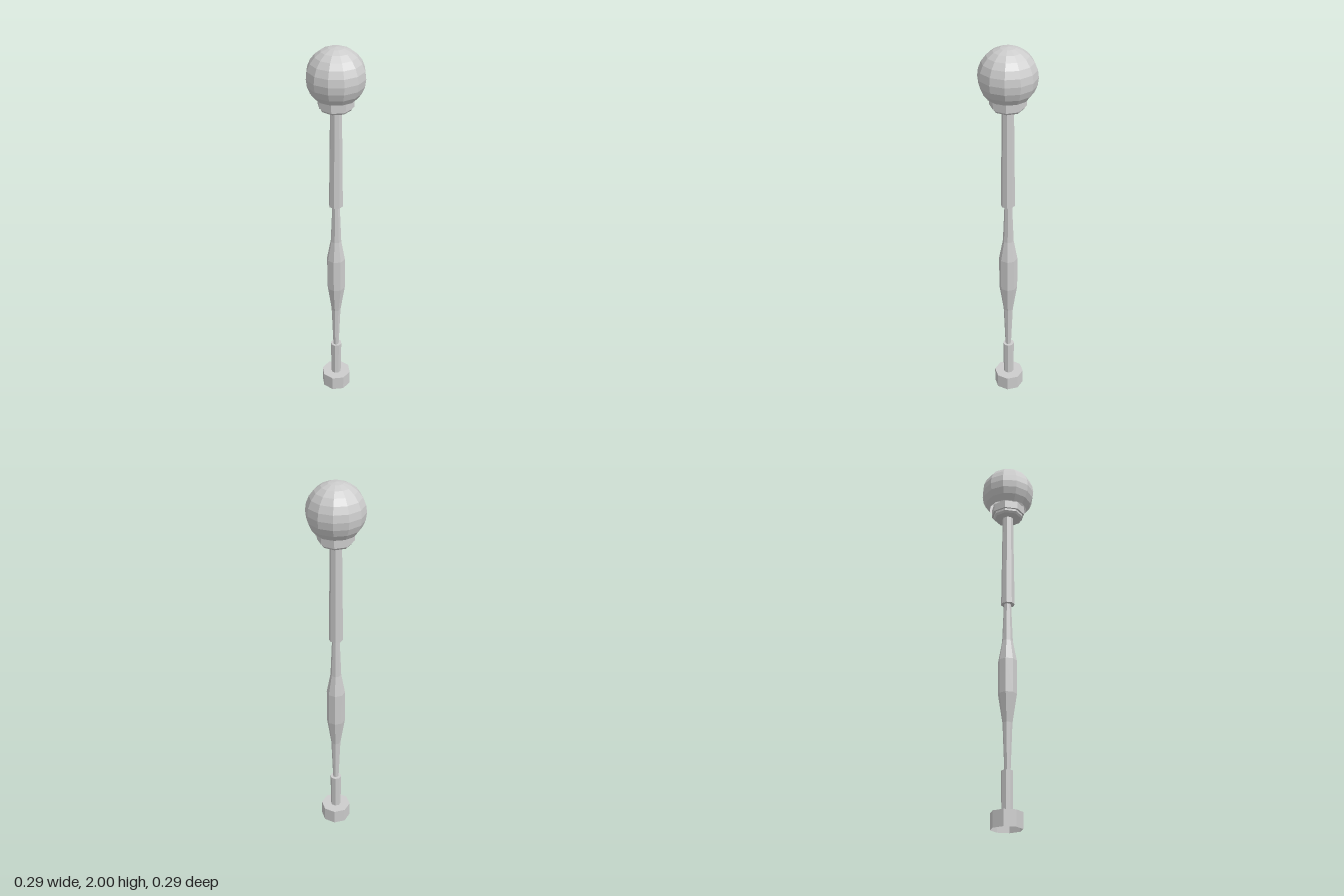
import * as THREE from 'three';

export function createModel() {
  const group = new THREE.Group();
  group.name = 'knobbedRod';
  const grey = new THREE.MeshStandardMaterial({ color: 0xcccccc, flatShading: true, side: THREE.DoubleSide });
  grey.name = 'grey';

  const add = (name, geometry, y = 0, z = 0) => {
    const mesh = new THREE.Mesh(geometry, grey);
    mesh.name = name;
    mesh.position.set(0, y, z);
    group.add(mesh);
  };
  // Eight-sided turned part from [radius, height] pairs, listed bottom to top
  const turned = (name, profile, z = 0) =>
    add(name, new THREE.LatheGeometry(profile.map(([r, y]) => new THREE.Vector2(r, y)), 8), 0, z);

  // Octagonal foot, open underneath, set slightly back
  turned('foot', [[0.079, 0], [0.079, 0.08], [0, 0.08]], -0.006);

  // Short sleeve above the foot
  turned('lowerSleeve', [[0.027, 0.08], [0.03, 0.28], [0, 0.28]], -0.004);

  // Slim shaft swelling into a grip
  turned('grip', [
    [0.015, 0.27], [0.025, 0.52], [0.048, 0.67], [0.048, 0.85], [0.028, 0.96], [0.019, 1.18],
  ], -0.002);

  // Long sleeve tapering towards the knob
  turned('upperSleeve', [[0, 1.17], [0.036, 1.17], [0.029, 1.71]]);

  // Stepped collar under the knob
  turned('collarStep', [[0, 1.695], [0.072, 1.695], [0.08, 1.705], [0.08, 1.718]]);
  turned('collarRing', [[0, 1.717], [0.09, 1.717], [0.09, 1.76], [0, 1.76]]);

  // Faceted ball, cut off where it meets the collar
  add('knob', new THREE.SphereGeometry(0.143, 12, 9, 0, Math.PI * 2, 0, Math.PI * 0.75), 1.857);
  return group;
}
